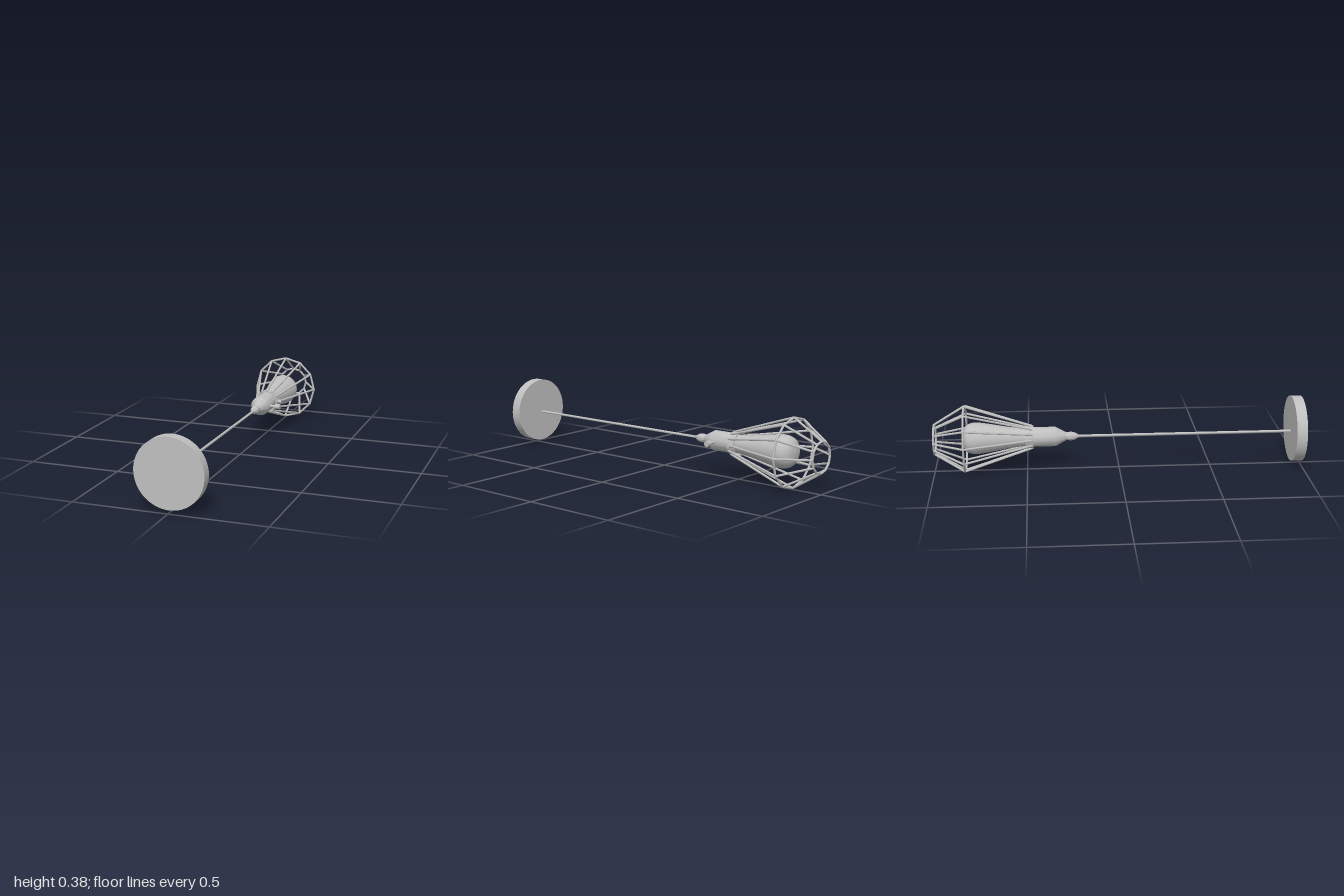
import * as THREE from 'three';
import { toCreasedNormals } from 'three/addons/utils/BufferGeometryUtils.js';

export function createModel() {
  const model = new THREE.Group();
  const grey = new THREE.MeshStandardMaterial({ color: 0xbfbfbf });
  grey.name = 'grey';
  const greyOpen = grey.clone();
  greyOpen.side = THREE.DoubleSide;

  // Everything but the wall plate sits on this axis, running along z
  const lamp = new THREE.Group();
  lamp.name = 'lamp';
  lamp.position.set(-0.003, 0.188, 0);
  model.add(lamp);

  function add(parent, name, geometry, material = grey) {
    const mesh = new THREE.Mesh(geometry, material);
    mesh.name = name;
    parent.add(mesh);
    return mesh;
  }

  // Lathe about the z axis; points are [radius, z] with z decreasing
  function turned(points, segments = 32) {
    const profile = points.map(([r, z]) => new THREE.Vector2(r, -z));
    const g = new THREE.LatheGeometry(profile, segments).rotateX(-Math.PI / 2);
    return toCreasedNormals(g, 0.5);
  }

  // Straight round bar between two points
  function bar(parent, name, a, b, radius, sides = 8) {
    const dir = b.clone().sub(a);
    const mesh = add(parent, name, new THREE.CylinderGeometry(radius, radius, dir.length(), sides));
    mesh.position.copy(a).add(b).multiplyScalar(0.5);
    mesh.quaternion.setFromUnitVectors(new THREE.Vector3(0, 1, 0), dir.normalize());
    return mesh;
  }
  const V = (x, y, z) => new THREE.Vector3(x, y, z);

  // Round mounting plate
  const plate = add(model, 'mountingPlate',
    new THREE.CylinderGeometry(0.179, 0.179, 0.057, 64).rotateX(Math.PI / 2));
  plate.position.set(0.007, 0.2, 0.9715);

  // Cord
  bar(lamp, 'cord', V(0, 0, 0.95), V(0, 0, -0.24), 0.007, 12);

  // Socket with tapered cord grip
  add(lamp, 'socket', turned([
    [0, -0.222], [0.01, -0.222], [0.022, -0.245], [0.024, -0.265], [0.021, -0.285],
    [0.053, -0.345], [0.053, -0.475], [0, -0.475],
  ]));

  // Bulb
  const bulbProfile = new THREE.SplineCurve([
    [0.046, 0.47], [0.05, 0.53], [0.059, 0.6], [0.073, 0.68], [0.084, 0.75],
    [0.085, 0.785], [0.073, 0.82], [0.043, 0.84], [0, 0.846],
  ].map(([r, d]) => new THREE.Vector2(r, d))).getPoints(32);
  bulbProfile[32].x = 0;
  add(lamp, 'bulb', new THREE.LatheGeometry(bulbProfile, 32).rotateX(-Math.PI / 2));

  // Clamp band holding the cage
  add(lamp, 'clampBand', turned([
    [0.055, -0.463], [0.062, -0.463], [0.062, -0.508], [0.055, -0.508], [0.055, -0.463],
  ]), greyOpen);
  bar(lamp, 'clampScrew', V(0.058, 0, -0.488), V(0.083, 0, -0.488), 0.011, 12);

  // Switch
  bar(lamp, 'switchStem', V(0.045, 0, -0.372), V(0.09, 0, -0.372), 0.008, 12);
  bar(lamp, 'switchKnob', V(0.084, 0, -0.372), V(0.112, 0, -0.372), 0.015, 16);

  // Twelve-sided wire cage
  const cage = new THREE.Group();
  cage.name = 'cage';
  lamp.add(cage);
  const sides = 12, wire = 0.006;
  const at = (r, z, i) => {
    const a = (i / sides) * Math.PI * 2;
    return V(r * Math.cos(a), r * Math.sin(a), z);
  };
  const collar = [0.06, -0.468], wide = [0.18, -0.832], end = [0.081, -0.994];
  for (let i = 0; i < sides; i++) {
    bar(cage, 'longRib', at(...collar, i), at(...wide, i), wire);
    bar(cage, 'shortRib', at(...wide, i), at(...end, i), wire);
    bar(cage, 'wideRing', at(...wide, i), at(...wide, i + 1), wire);
    bar(cage, 'endRing', at(...end, i), at(...end, i + 1), wire);
  }
  return model;
}
